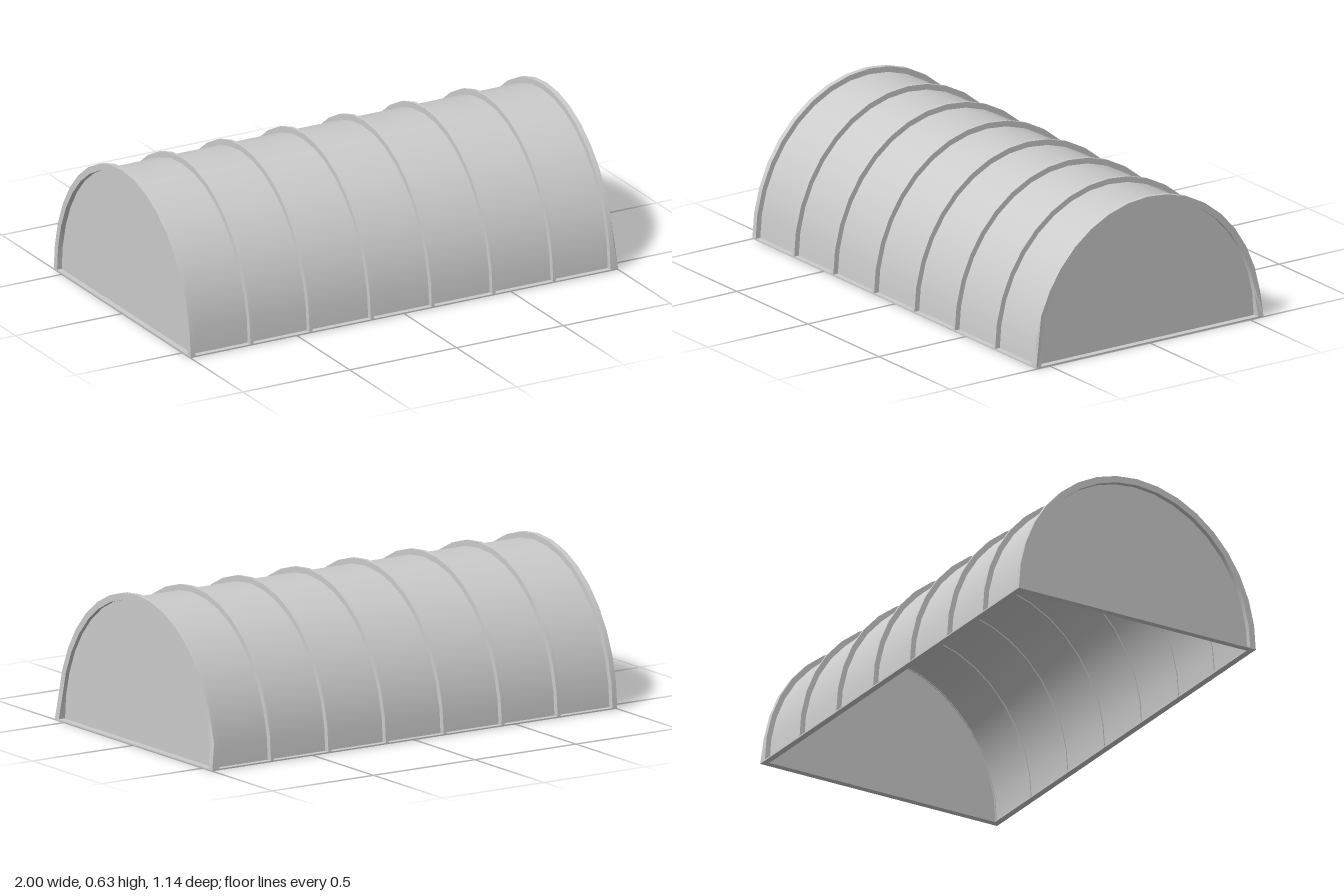
import * as THREE from 'three';
import { toCreasedNormals } from 'three/addons/utils/BufferGeometryUtils.js';

const SEGMENTS = 18;
const material = new THREE.MeshStandardMaterial({ color: 0xcccccc });
const thinMaterial = new THREE.MeshStandardMaterial({ color: 0xcccccc, side: THREE.DoubleSide });

// Points of a half ellipse standing on the ground
function arch(halfWidth, height) {
  return Array.from({ length: SEGMENTS + 1 }, (_, i) => {
    const a = (i / SEGMENTS) * Math.PI;
    return new THREE.Vector2(halfWidth * Math.cos(a), height * Math.sin(a));
  });
}

// Arched rib between two x positions; footX flares the outer feet
function ribGeometry(x0, x1, footX = x1) {
  const outline = [...arch(0.568, 0.627), ...arch(0.541, 0.599).reverse()];
  const geo = new THREE.ExtrudeGeometry(new THREE.Shape(outline), {
    depth: x1 - x0, bevelEnabled: false, steps: 1,
  });
  geo.rotateY(Math.PI / 2).translate(x0, 0, 0);
  const p = geo.attributes.position;
  for (let i = 0; i < p.count; i++) {
    if (p.getX(i) > x1 - 0.001 && p.getY(i) < 0.001) p.setX(i, footX);
  }
  return toCreasedNormals(geo, 0.5);
}

// Thin curved skin from end to end
function shellGeometry(x0, x1) {
  const geo = new THREE.PlaneGeometry(1, 1, SEGMENTS, 1);
  const curve = arch(0.545, 0.603);
  const p = geo.attributes.position;
  for (let i = 0; i < p.count; i++) {
    const c = curve[i % (SEGMENTS + 1)];
    p.setXYZ(i, i <= SEGMENTS ? x0 : x1, c.y, c.x);
  }
  geo.computeVertexNormals();
  return geo;
}

export function createModel() {
  const group = new THREE.Group();
  const add = (name, geo, mat = material) => {
    const mesh = new THREE.Mesh(geo, mat);
    mesh.name = name;
    group.add(mesh);
    return mesh;
  };

  add('shell', shellGeometry(-0.978, 0.968), thinMaterial);

  // End ribs and the six slimmer ribs between them
  add('endRibRight', ribGeometry(-1, -0.977));
  add('endRibLeft', ribGeometry(0.964, 0.986, 1));
  [-0.713, -0.437, -0.15, 0.135, 0.419, 0.703].forEach((x, i) => {
    add(`rib${i + 1}`, ribGeometry(x - 0.007, x + 0.007));
  });

  // Recessed end walls
  for (const [name, x] of [['endWallRight', -0.978], ['endWallLeft', 0.968]]) {
    const geo = new THREE.ShapeGeometry(new THREE.Shape(arch(0.545, 0.603)));
    add(name, geo.rotateY(Math.PI / 2).translate(x, 0, 0), thinMaterial);
  }

  // Base frame: long side sills and end sills
  const sill = 0.006;
  for (const s of [-1, 1]) {
    const tag = s > 0 ? 'Left' : 'Right';
    add(s > 0 ? 'frontSill' : 'backSill', new THREE.BoxGeometry(2, sill, 0.027))
      .position.set(0, sill / 2, s * 0.5545);
    add(`endSill${tag}`, new THREE.BoxGeometry(0.028, sill, 1.082))
      .position.set(s * 0.986, sill / 2, 0);
  }
  return group;
}
